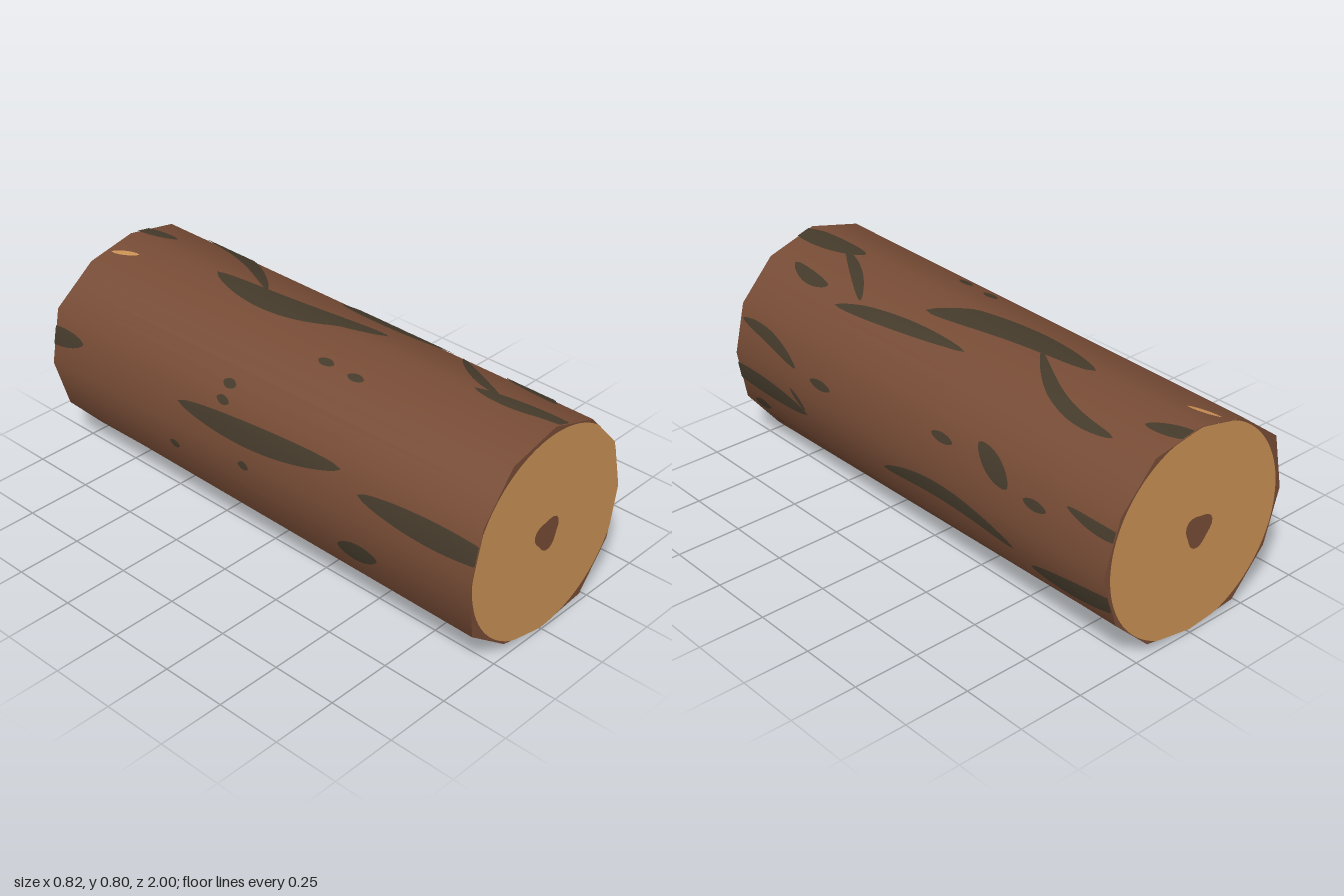
import * as THREE from 'three';

const bark = new THREE.MeshStandardMaterial({ color: 0x764b35 });
bark.name = 'bark brown';
const moss = new THREE.MeshStandardMaterial({ color: 0x443a2b });
moss.name = 'dark bark marking';
const wood = new THREE.MeshStandardMaterial({ color: 0xc88f53 });
wood.name = 'cut wood';

const { degToRad, radToDeg, lerp, clamp } = THREE.MathUtils;
const CY = 0.39, R = 0.39, END = 0.996;

// Corner radii of the twelve-sided ends, every 30 degrees from the top toward +x
const FRONT = [0.407, 0.396, 0.387, 0.38, 0.397, 0.42, 0.387, 0.395, 0.425, 0.387, 0.39, 0.413];
const BACK = [0.385, 0.405, 0.398, 0.41, 0.402, 0.398, 0.379, 0.412, 0.403, 0.41, 0.425, 0.395];

// Unit direction at an angle in degrees from the top toward +x
const direction = (deg) => new THREE.Vector2(Math.sin(degToRad(deg)), Math.cos(degToRad(deg)));

// Point on an end outline, relative to the log's axis
function onRing(radii, deg) {
  const k = Math.floor(deg / 30);
  const corner = (i) => direction(i * 30).multiplyScalar(radii[((i % 12) + 12) % 12]);
  return corner(k).lerp(corner(k + 1), deg / 30 - k);
}

// Smooth skin from a grid of [degrees, z] samples wrapped onto the tapering log
function skin(name, material, rows, cols, lift, sample) {
  const pos = [], nor = [], idx = [];
  for (let i = 0; i <= rows; i++) {
    for (let j = 0; j <= cols; j++) {
      const [deg, along] = sample(i / rows, j / cols);
      const z = clamp(along, -END, END), n = direction(deg);
      const p = onRing(BACK, deg).lerp(onRing(FRONT, deg), (z + 1) / 2).addScaledVector(n, lift);
      pos.push(p.x, p.y + CY, z);
      nor.push(n.x, n.y, 0);
      if (i < rows && j < cols) {
        const a = i * (cols + 1) + j, b = a + cols + 1;
        idx.push(a, b, b + 1, a, b + 1, a + 1);
      }
    }
  }
  const g = new THREE.BufferGeometry();
  g.setAttribute('position', new THREE.Float32BufferAttribute(pos, 3));
  g.setAttribute('normal', new THREE.Float32BufferAttribute(nor, 3));
  g.setIndex(idx);
  const mesh = new THREE.Mesh(g, material);
  mesh.name = name;
  return mesh;
}

// Bowed, lens-shaped streak between two [degrees, z] ends
function streak(name, material, [deg0, z0, deg1, z1, width, bend = 0]) {
  return skin(name, material, 24, 8, 0.004, (u, v) => {
    const across = degToRad(deg1 - deg0 + bend * Math.PI * Math.cos(Math.PI * u)) * R;
    const along = z1 - z0, bow = Math.max(0, Math.sin(Math.PI * u));
    const off = (v - 0.5) * width * Math.pow(bow, 0.6) / Math.hypot(across, along);
    return [lerp(deg0, deg1, u) + bend * bow + radToDeg(off * along / R),
      lerp(z0, z1, u) - off * across];
  });
}

// Flat plate on one end; side is 1 for front and -1 for back
function endPlate(name, material, points, z, side) {
  const shape = new THREE.Shape(points.map((p) => new THREE.Vector2(p.x * side, p.y)));
  const g = new THREE.ShapeGeometry(shape);
  if (side < 0) g.rotateY(Math.PI);
  g.translate(0, CY, z * side);
  const mesh = new THREE.Mesh(g, material);
  mesh.name = name;
  return mesh;
}

// Streaks: start degrees and z, end degrees and z, width, sideways bend in degrees
const TOP_STREAKS = [
  [0, -0.53, 15, 0.21, 0.12, -8], [31, -0.82, 4, -0.3, 0.055, 9],
  [27, -0.09, 37, 0.56, 0.06, -2], [29, 0.46, 4, 0.75, 0.045, -2],
  [1, 0.66, 8, 1.06, 0.08], [30, 0.64, 26, 0.87, 0.055, 2], [6, -1.06, 15, -0.85, 0.06],
];
const LEFT_STREAKS = [
  [68, 0.98, 79, 0.63, 0.055, -3], [62, -0.35, 76, -0.52, 0.08], [68, -0.78, 68, -1.1, 0.04, 2],
  [101, 1.15, 104, 0.57, 0.085, -1], [91, 0.65, 102, 0.58, 0.03],
  [107, 0.13, 108, -0.55, 0.075, -8], [113, -0.62, 100, -1.15, 0.075, 3],
];
const RIGHT_STREAKS = [
  [-75, -0.34, -67, 0.42, 0.09, -3], [-75, 0.5, -74, 1.15, 0.09, -1],
  [-76, -1.1, -72, -0.84, 0.07], [-109, 0.42, -106, 0.6, 0.07],
];
const UNDER_STREAKS = [
  [182, 0.04, 174, -0.35, 0.065], [183, 1.15, 171, 0.54, 0.09, -4],
  [186, -1.1, 184, -0.9, 0.07], [215, 0.3, 214, -0.16, 0.06, 4],
];
// Small flecks: degrees, z, length
const FLECKS = [
  [-23, 0.16, 0.07], [-24, 0.3, 0.07], [80, 0.48, 0.12], [70, -0.18, 0.11], [76, -0.65, 0.11],
  [117, 0.88, 0.1], [133, 0.87, 0.04], [-63, -0.13, 0.06], [-54, -0.13, 0.06],
  [-91, 0, 0.05], [-102, -0.36, 0.05],
];

export function createModel() {
  const log = new THREE.Group();
  log.name = 'log';

  // Bark sides
  log.add(skin('barkSides', bark, 1, 48, 0, (u, v) => [v * 360, (u * 2 - 1) * END]));

  // Ends: bark rim, wood disc clipped by the rim, and a three-lobed heart
  const around = (count, point) => Array.from({ length: count }, (_, i) => point(i * 360 / count));
  const heart = around(24, (deg) => {
    const r = 0.059 + 0.008 * Math.cos(degToRad(3 * (deg - 50)));
    return direction(deg).multiplyScalar(r).add(new THREE.Vector2(-0.01, 0.004));
  });
  for (const [label, radii, side] of [['front', FRONT, 1], ['back', BACK, -1]]) {
    const rim = around(12, (deg) => onRing(radii, deg));
    const disc = around(96, (deg) => onRing(radii, deg).clampLength(0, 0.384));
    log.add(endPlate(label + 'Rim', bark, rim, END, side));
    log.add(endPlate(label + 'CutWood', wood, disc, 0.998, side));
    log.add(endPlate(label + 'Heart', bark, heart, 1, side));
  }

  // Dark bark markings
  const marks = new THREE.Group();
  marks.name = 'barkMarkings';
  for (const s of [...TOP_STREAKS, ...LEFT_STREAKS, ...RIGHT_STREAKS, ...UNDER_STREAKS]) {
    marks.add(streak('barkStreak', moss, s));
  }
  for (const [deg, z, length] of FLECKS) {
    marks.add(streak('barkFleck', moss, [deg, z - length / 2, deg, z + length / 2, 0.035]));
  }
  log.add(marks);

  // Bare sliver where the wood shows through
  log.add(streak('bareSliver', wood, [-18, -0.97, -12, -0.86, 0.025]));
  return log;
}
